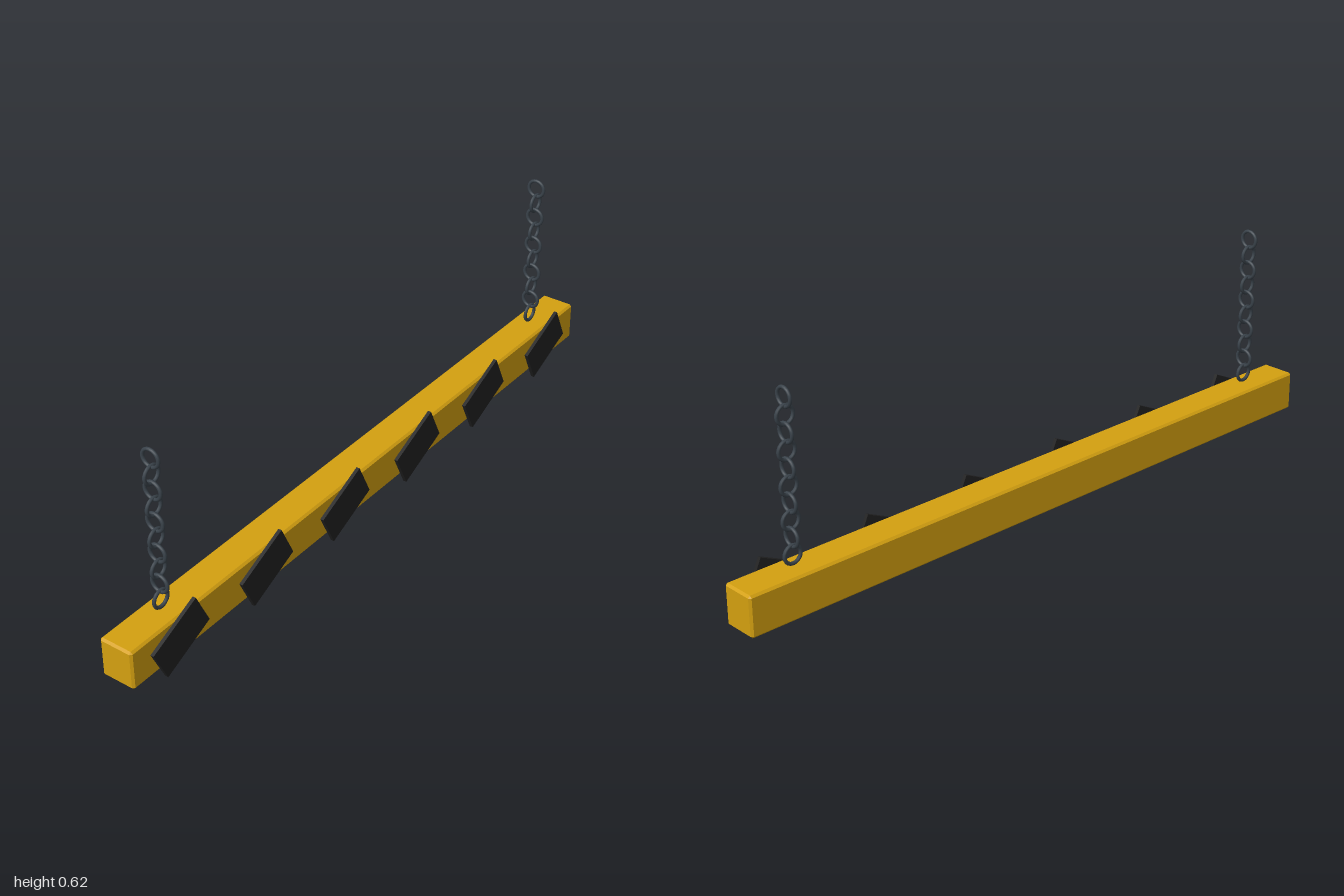
import * as THREE from 'three';
import { ConvexGeometry } from 'three/addons/geometries/ConvexGeometry.js';

const wood = new THREE.MeshStandardMaterial({ name: 'ochre beam', color: 0xd4a010 });
const black = new THREE.MeshStandardMaterial({ name: 'black plate', color: 0x222222 });
const steel = new THREE.MeshStandardMaterial({ name: 'dark steel', color: 0x39424a });

// Box with every edge cut by a flat chamfer c
function chamferBox(w, h, d, c) {
  const points = [];
  for (const x of [-w / 2, w / 2]) for (const y of [-h / 2, h / 2]) for (const z of [-d / 2, d / 2]) {
    const ix = x - Math.sign(x) * c, iy = y - Math.sign(y) * c, iz = z - Math.sign(z) * c;
    points.push(new THREE.Vector3(x, iy, iz), new THREE.Vector3(ix, y, iz), new THREE.Vector3(ix, iy, z));
  }
  return new ConvexGeometry(points);
}

function addMesh(parent, name, geometry, material, x, y, z) {
  const mesh = new THREE.Mesh(geometry, material);
  mesh.name = name;
  mesh.position.set(x, y, z);
  parent.add(mesh);
  return mesh;
}

export function createModel() {
  const model = new THREE.Group();
  model.name = 'hangingBarrier';
  const centreZ = -0.005;

  // Long horizontal beam
  addMesh(model, 'beam', chamferBox(2, 0.115, 0.101, 0.006), wood, 0, 0.0865, centreZ);

  // Six tilted warning stripes on the front
  const plate = new THREE.BoxGeometry(0.177, 0.106, 0.01);
  for (let i = 0; i < 6; i++) {
    const stripe = addMesh(model, 'stripePlate', plate, black, (i - 2.5) / 3, 0.0855, 0.051);
    stripe.rotation.z = THREE.MathUtils.degToRad(25);
  }

  // Two chains of rings, alternately turned a quarter
  const ring = new THREE.TorusGeometry(0.0246, 0.005, 8, 20);
  for (const side of [-1, 1]) {
    const chain = new THREE.Group();
    chain.name = side > 0 ? 'leftChain' : 'rightChain';
    chain.position.set(side * 0.833, 0.178, centreZ);
    for (let i = 0; i < 10; i++) {
      const link = addMesh(chain, 'chainLink', ring, steel, 0, i * 0.0458, 0);
      link.rotation.y = i % 2 ? Math.PI / 2 : 0;
    }
    model.add(chain);
  }
  return model;
}
